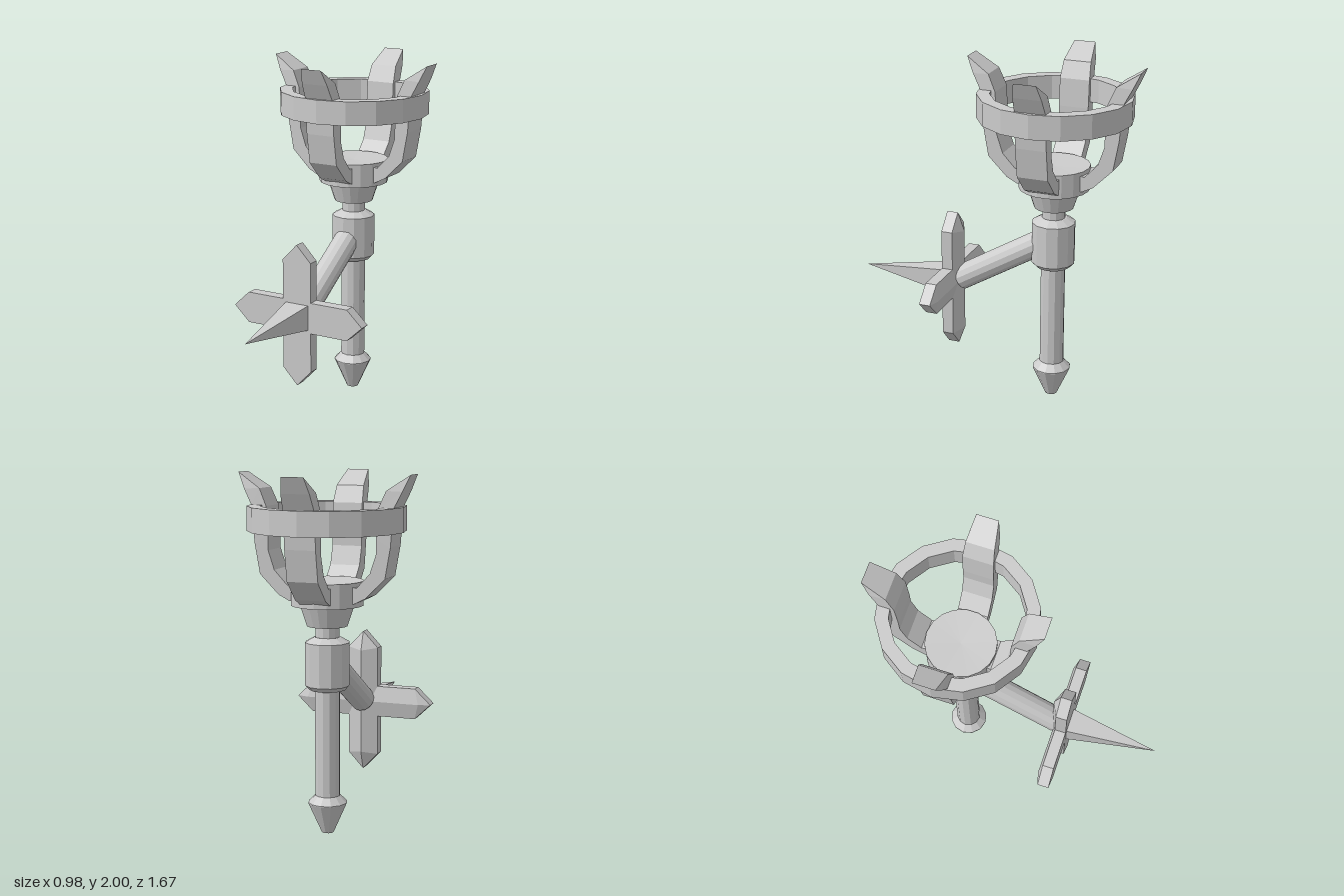
import * as THREE from 'three';
import { ConvexGeometry } from 'three/addons/geometries/ConvexGeometry.js';

const material = new THREE.MeshStandardMaterial({ color: 0xcccccc, flatShading: true });
const AXIS_Z = -0.345; // upright post
const CROSS_Y = 0.635; // centre of the star-shaped cross

function part(name, geometry) {
  const mesh = new THREE.Mesh(geometry, material);
  mesh.name = name;
  return mesh;
}

function turned(name, profile, sides) {
  return part(name, new THREE.LatheGeometry(profile.map(([r, y]) => new THREE.Vector2(r, y)), sides));
}

// Curved claw facing +z; each section: inner radius, inner y, outer radius, outer y, half width
function clawGeometry() {
  const sections = [
    [0.17, 1.40, 0.17, 1.305, 0.087],
    [0.20, 1.395, 0.19, 1.31, 0.087],
    [0.275, 1.475, 0.25, 1.34, 0.087],
    [0.31, 1.58, 0.36, 1.45, 0.087],
    [0.31, 1.66, 0.39, 1.62, 0.087],
    [0.32, 1.82, 0.405, 1.82, 0.087],
    [0.362, 1.915, 0.452, 1.912, 0.08],
    [0.492, 2.0, 0.492, 2.0, 0.062],
  ];
  const positions = [];
  const index = [0, 1, 2, 0, 2, 3];
  sections.forEach(([ri, yi, ro, yo, w], s) => {
    positions.push(-w, yi, ri, w, yi, ri, w, yo, ro, -w, yo, ro);
    if (s === 0) return;
    for (let k = 0; k < 4; k++) {
      const a = (s - 1) * 4 + k;
      const b = (s - 1) * 4 + (k + 1) % 4;
      index.push(a, a + 4, b, b, a + 4, b + 4);
    }
  });
  const geometry = new THREE.BufferGeometry();
  geometry.setAttribute('position', new THREE.Float32BufferAttribute(positions, 3));
  geometry.setIndex(index);
  geometry.computeVertexNormals();
  return geometry;
}

// Pointed bar along x: flat front, ridged back
function barGeometry(ridgeLength, ridgeZ) {
  const points = [];
  for (const s of [-1, 1]) {
    for (const z of [0.24, 0.306]) {
      points.push(new THREE.Vector3(s * 0.415, 0, z));
      for (const t of [-1, 1]) points.push(new THREE.Vector3(s * 0.32, t * 0.09, z));
    }
    points.push(new THREE.Vector3(s * ridgeLength, 0, ridgeZ));
  }
  return new ConvexGeometry(points);
}

export function createModel() {
  const model = new THREE.Group();

  // Upright staff with pointed foot, collar and cup
  const staff = new THREE.Group();
  staff.name = 'staff';
  staff.position.z = AXIS_Z;
  staff.add(
    turned('post', [[0, 0], [0.034, 0], [0.11, 0.17], [0.11, 0.175], [0.07, 0.215], [0.07, 0.83]], 12),
    turned('collar', [[0, 0.815], [0.1, 0.815], [0.124, 0.84], [0.124, 1.08], [0.075, 1.108], [0, 1.108]], 12),
    turned('neck', [[0.066, 1.09], [0.066, 1.18]], 12),
    turned('cup', [[0, 1.17], [0.112, 1.17], [0.15, 1.285], [0.2, 1.285], [0.2, 1.42], [0, 1.41]], 18),
    turned('crownRing', [[0.433, 1.69], [0.433, 1.825], [0.36, 1.825], [0.36, 1.69], [0.433, 1.69]], 16)
  );

  // Four claws around the cup
  const claw = clawGeometry();
  for (let i = 0; i < 4; i++) {
    const mesh = part('claw', claw);
    mesh.rotation.y = i * Math.PI / 2;
    staff.add(mesh);
  }
  model.add(staff);

  // Slanted arm from collar to cross
  const start = new THREE.Vector3(0, 0.964, -0.305);
  const end = new THREE.Vector3(0, 0.648, 0.22);
  const span = end.clone().sub(start);
  const arm = part('slantedArm', new THREE.CylinderGeometry(0.074, 0.074, span.length(), 14));
  arm.position.copy(start).add(end).multiplyScalar(0.5);
  arm.quaternion.setFromUnitVectors(new THREE.Vector3(0, 1, 0), span.normalize());
  model.add(arm);

  // Cross with a long front spike
  const cross = new THREE.Group();
  cross.name = 'cross';
  cross.position.y = CROSS_Y;
  const upright = part('crossUpright', barGeometry(0.305, 0.2));
  upright.rotation.z = Math.PI / 2;
  const spike = part('spike', new THREE.ConeGeometry(0.08 * Math.SQRT2, 0.585, 4).rotateY(Math.PI / 4).rotateX(Math.PI / 2));
  spike.position.z = 0.25 + 0.585 / 2;
  cross.add(upright, part('crossBar', barGeometry(0.345, 0.22)), spike);
  model.add(cross);

  return model;
}
